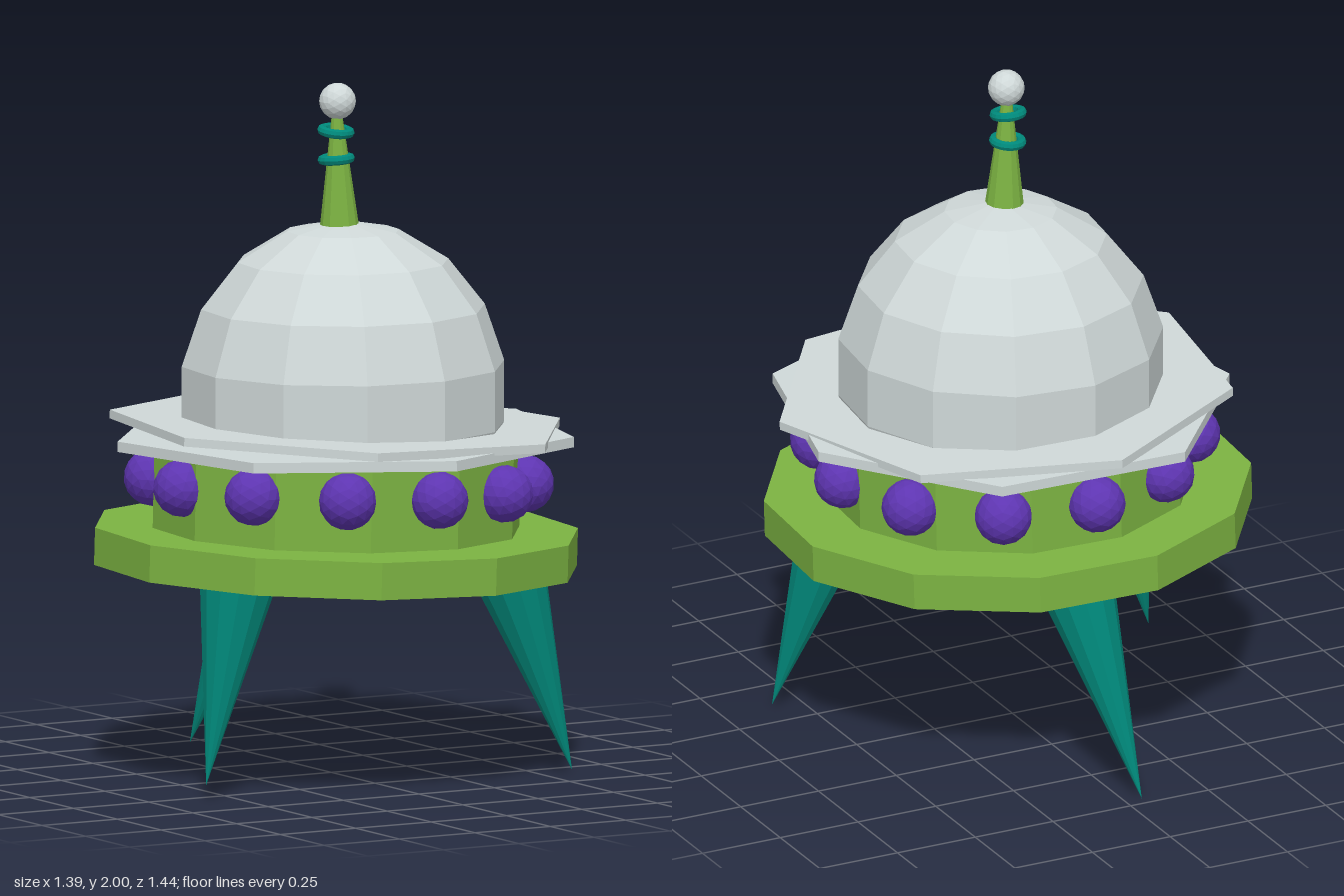
import * as THREE from 'three';

const DEG = Math.PI / 180;
const paint = (color) => new THREE.MeshStandardMaterial({ color, flatShading: true });

export function createModel() {
  const model = new THREE.Group();
  const green = paint(0x7cb342), teal = paint(0x00897b);
  const purple = paint(0x5e35b1), white = paint(0xcfd8d8);

  function add(name, geometry, material, pos, rot = [0, 0, 0], parent = model) {
    const mesh = new THREE.Mesh(geometry, material);
    mesh.name = name;
    mesh.position.set(...pos);
    mesh.rotation.set(...rot);
    parent.add(mesh);
    return mesh;
  }
  // Faceted disc whose first corner sits at the given angle from +z
  const disc = (r, h, sides, start) =>
    new THREE.CylinderGeometry(r, r, h, sides, 1, false, start * DEG);

  // Hull: wide base disc and the drum above it, both leaning a little
  add('baseDisc', disc(0.705, 0.108, 12, 10.6), green, [0, 0.658, 0.027], [0.012, 0, -0.025]);
  add('drum', disc(0.535, 0.25, 12, 10.6), green, [0, 0.84, 0.032], [0.008, 0, -0.02]);

  // Ring of round lights around the drum
  const lights = new THREE.Group();
  lights.name = 'lightRing';
  lights.position.set(0.005, 0.85, 0.035);
  lights.rotation.set(-0.015, 0, -0.035);
  model.add(lights);
  const ball = new THREE.IcosahedronGeometry(0.083, 2);
  for (let i = 0; i < 12; i++) {
    const a = (2.5 + i * 30) * DEG;
    add('light', ball, purple, [0.535 * Math.sin(a), 0, 0.535 * Math.cos(a)], [0, a, 0], lights);
  }

  // Two crossed seven-sided plates under the dome
  add('lowerPlate', disc(0.672, 0.03, 7, -1), white, [0.02, 0.974, 0.03], [0, 0, 0.002]);
  add('upperPlate', disc(0.67, 0.025, 7, 30), white, [0.02, 1.008, 0.03], [0.012, 0, -0.038]);

  // Dome: a sphere cut off inside the drum
  const dome = new THREE.SphereGeometry(0.475, 12, 6, 0, Math.PI * 2, 0, 120 * DEG);
  dome.scale(1, 1.06, 1);
  add('dome', dome, white, [0.027, 1.098, 0.02], [0, 8.5 * DEG, 0]);

  // Antenna mast, rings and tip
  add('mast', new THREE.CylinderGeometry(0.013, 0.056, 0.34, 12), green, [0.01, 1.755, 0.022], [0, 0, 0.025]);
  const ring = new THREE.TorusGeometry(0.04, 0.014, 8, 18);
  ring.rotateX(Math.PI / 2);
  add('lowerRing', ring, teal, [0.003, 1.78, 0.023], [-0.04, 0, 0.06]);
  add('upperRing', ring, teal, [-0.002, 1.862, 0.03], [0.14, 0, -0.04]);
  add('antennaTip', new THREE.IcosahedronGeometry(0.053, 2), white, [0.008, 1.947, 0.022]);

  // Legs: spikes splayed outward, running from hull to tip
  const legs = [
    [[-0.465, 0.63, 0.27], [-0.595, 0.045, 0.31]],
    [[0.422, 0.615, 0.27], [0.595, 0.008, 0.35]],
    [[0.042, 0.615, -0.48], [-0.052, 0, -0.718]],
  ];
  for (const [from, to] of legs) {
    const base = new THREE.Vector3(...from), tip = new THREE.Vector3(...to);
    const axis = tip.clone().sub(base);
    const mid = base.add(tip).multiplyScalar(0.5);
    const leg = add('leg', new THREE.ConeGeometry(0.113, axis.length(), 12), teal, mid.toArray());
    leg.quaternion.setFromUnitVectors(new THREE.Vector3(0, 1, 0), axis.normalize());
  }
  return model;
}
